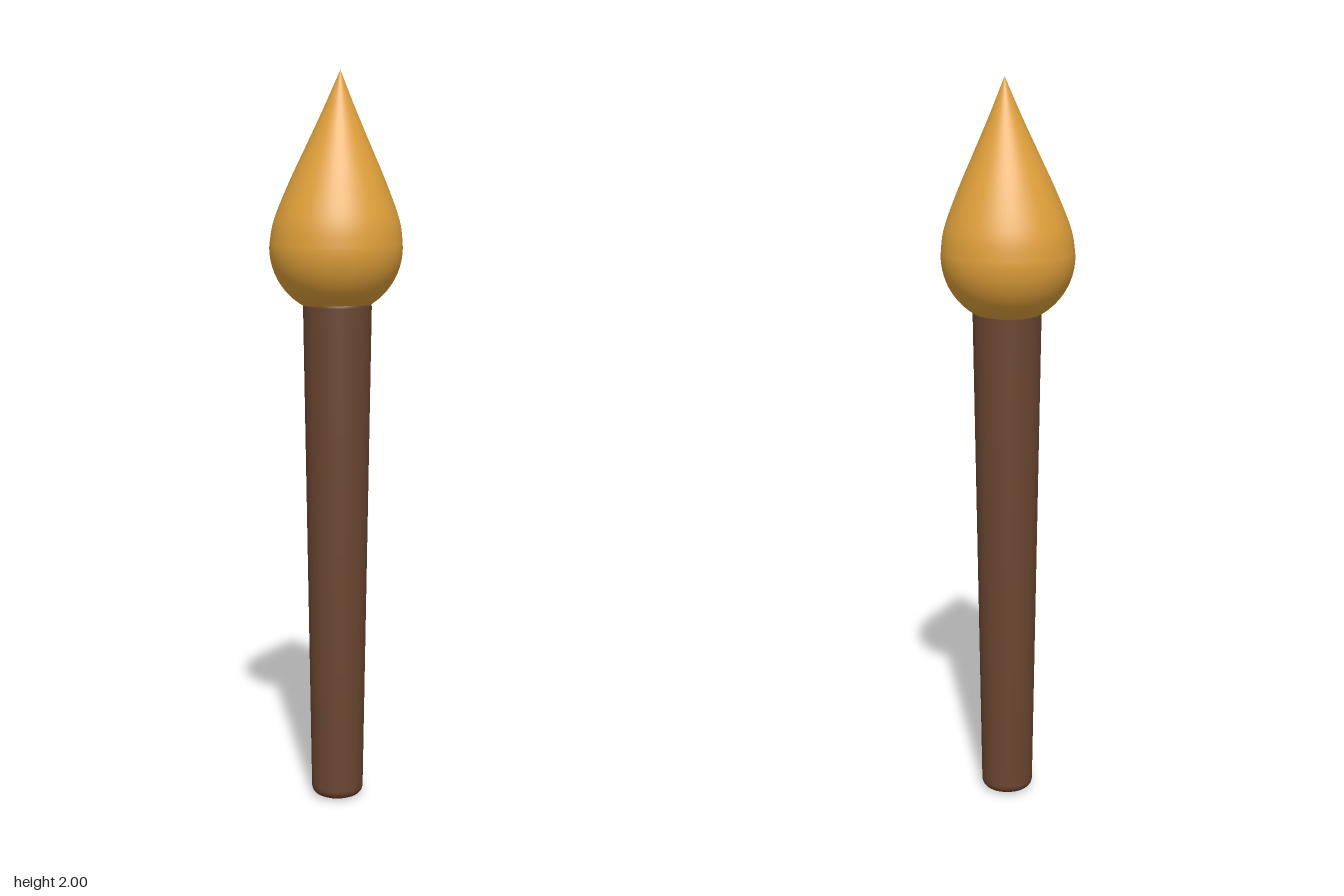
import * as THREE from 'three';

// Turns a list of [radius, height] pairs into a smooth surface of revolution
function lathe(points, sides) {
  return new THREE.LatheGeometry(points.map(([r, y]) => new THREE.Vector2(r, y)), sides);
}

export function createModel() {
  const model = new THREE.Group();
  const wood = new THREE.MeshStandardMaterial({ color: 0x6b4630 });
  wood.name = 'brown wood';
  const amber = new THREE.MeshStandardMaterial({ color: 0xe0a03a });
  amber.name = 'amber';

  // Tapered handle with rounded ends
  const handleProfile = [[0, 0], [0.045, 0]];
  for (let i = 0; i <= 6; i++) {
    const a = (i / 6) * Math.PI / 2;
    handleProfile.push([0.045 + 0.026 * Math.sin(a), 0.028 - 0.026 * Math.cos(a)]);
  }
  for (let i = 1; i <= 4; i++) {
    handleProfile.push([0.071 + 0.0055 * i, 0.028 + 0.336 * i]);
  }
  handleProfile.push([0.091, 1.38], [0.086, 1.385], [0.08, 1.386], [0, 1.386]);
  const handle = new THREE.Mesh(lathe(handleProfile, 48), wood);
  handle.name = 'handle';
  handle.position.z = 0.008;
  model.add(handle);

  // Teardrop tip: round bowl below, smooth curve up to a point
  const tipProfile = [];
  for (let i = 0; i <= 16; i++) {
    const a = (i / 16) * Math.PI / 2;
    tipProfile.push([0.18 * Math.sin(a), 1.53 - 0.18 * Math.cos(a)]);
  }
  const upper = new THREE.SplineCurve([
    [0.18, 1.53], [0.17, 1.6], [0.132, 1.7], [0.087, 1.8], [0.042, 1.9], [0, 2],
  ].map(([r, y]) => new THREE.Vector2(r, y)));
  upper.getPoints(24).slice(1).forEach((p) => tipProfile.push([Math.max(p.x, 0), p.y]));
  const tipGeometry = lathe(tipProfile, 64);

  // The point leans slightly forward
  const pos = tipGeometry.attributes.position;
  for (let i = 0; i < pos.count; i++) {
    const t = Math.max(0, (pos.getY(i) - 1.53) / 0.47);
    pos.setX(i, pos.getX(i) + 0.004 * t);
    pos.setZ(i, pos.getZ(i) + 0.017 * t);
  }
  const tip = new THREE.Mesh(tipGeometry, amber);
  tip.name = 'teardropTip';
  model.add(tip);

  return model;
}
